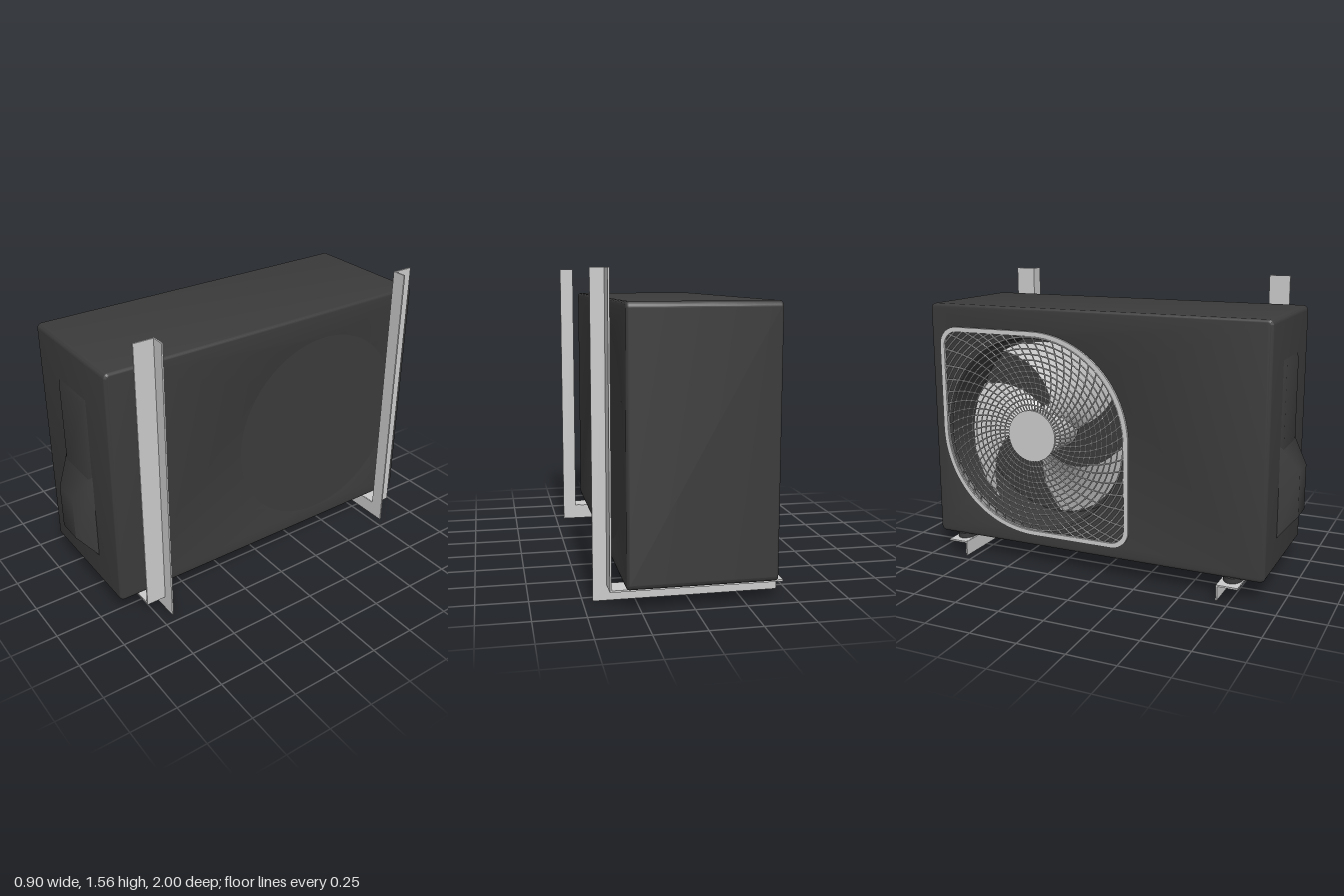
import * as THREE from 'three';
import { toCreasedNormals, mergeGeometries } from 'three/addons/utils/BufferGeometryUtils.js';
import { ParametricGeometry } from 'three/addons/geometries/ParametricGeometry.js';

const grey = new THREE.MeshStandardMaterial({ color: 0xcccccc });
const thinGrey = new THREE.MeshStandardMaterial({ color: 0xcccccc, side: THREE.DoubleSide });
const dark = new THREE.MeshStandardMaterial({ color: 0x3b3b3b });

function add(parent, name, geometry, material, x = 0, y = 0, z = 0) {
  const mesh = new THREE.Mesh(geometry, material);
  mesh.name = name;
  mesh.position.set(x, y, z);
  parent.add(mesh);
}

// Box between two corners
function boxBetween(parent, name, material, [x0, y0, z0], [x1, y1, z1]) {
  add(parent, name, new THREE.BoxGeometry(x1 - x0, y1 - y0, z1 - z0), material,
    (x0 + x1) / 2, (y0 + y1) / 2, (z0 + z1) / 2);
}

// Softly shaded frustum along z from a base rectangle to a top rectangle [x0, x1, y0, y1]
function frustum(base, top, z0, z1) {
  const geo = new THREE.BoxGeometry(1, 1, 1);
  const p = geo.attributes.position;
  for (let i = 0; i < p.count; i++) {
    const r = p.getZ(i) > 0 ? top : base;
    p.setXYZ(i, p.getX(i) > 0 ? r[1] : r[0], p.getY(i) > 0 ? r[3] : r[2], p.getZ(i) > 0 ? z1 : z0);
  }
  return toCreasedNormals(geo, 1);
}

// Rectangle with rounded corners
function roundedRect(x0, x1, y0, y1, r) {
  const s = new THREE.Shape();
  s.absarc(x1 - r, y1 - r, r, 0, Math.PI / 2);
  s.absarc(x0 + r, y1 - r, r, Math.PI / 2, Math.PI);
  s.absarc(x0 + r, y0 + r, r, Math.PI, Math.PI * 1.5);
  s.absarc(x1 - r, y0 + r, r, Math.PI * 1.5, Math.PI * 2);
  return s;
}

// Circle with two opposite corners squared off
function leafShape(R, c) {
  const s = new THREE.Shape();
  s.absarc(0, 0, R, 0, Math.PI / 2);
  s.absarc(-R + c, R - c, c, Math.PI / 2, Math.PI);
  s.absarc(0, 0, R, Math.PI, Math.PI * 1.5);
  s.absarc(R - c, -R + c, c, -Math.PI / 2, 0);
  return s;
}

// Distance from the fan axis to the grille rim at an angle
function leafRadius(a) {
  const c = Math.cos(a), s = Math.sin(a);
  return c * s < 0 ? Math.min(0.55 / Math.max(Math.abs(c), Math.abs(s)), 0.74) : 0.55;
}

const FAN_Y = 0.73, FAN_Z = -0.38, HOLE = 0.52;

// Housing with a round opening for the fan, drawn in z and y and extruded towards -x
function buildHousing(parent) {
  const bevel = 0.015;
  const s = roundedRect(-1, 0.912, 0.106, 1.413, 0.028);
  s.holes.push(new THREE.Path().absarc(FAN_Z, FAN_Y, HOLE, 0, Math.PI * 2, true));
  const geo = new THREE.ExtrudeGeometry(s, {
    depth: 0.72 - 2 * bevel, bevelThickness: bevel, bevelSize: bevel, bevelOffset: -bevel,
    bevelSegments: 3, curveSegments: 32,
  });
  geo.translate(0, 0, -0.32 + bevel).rotateY(-Math.PI / 2);
  add(parent, 'housing', toCreasedNormals(geo, 0.6), dark);
  // Closes the far side of the opening
  const plug = new THREE.CylinderGeometry(HOLE + bevel, HOLE + bevel, 0.42, 64).rotateZ(Math.PI / 2);
  add(parent, 'housingBack', plug, dark, 0.11, FAN_Y, FAN_Z);
}

function buildFan(parent) {
  const fan = new THREE.Group();
  fan.name = 'fan';
  fan.position.set(0, FAN_Y, FAN_Z);
  fan.rotation.y = -Math.PI / 2;
  parent.add(fan);

  // Hub and swept blades
  add(fan, 'fanHub', new THREE.CylinderGeometry(0.13, 0.13, 0.22, 32).rotateX(Math.PI / 2), grey, 0, 0, 0.23);
  for (let k = 0; k < 3; k++) {
    const blade = new ParametricGeometry((u, v, out) => {
      const r = 0.11 + 0.38 * u;
      const a = k * Math.PI * 2 / 3 + 0.6 * u + v * (1.0 + 0.45 * u);
      out.set(r * Math.cos(a), r * Math.sin(a), 0.17 + 0.15 * v);
    }, 12, 14);
    add(fan, 'fanBlade', blade, thinGrey);
  }

  // Grille rim
  const rim = leafShape(0.56, 0.1);
  rim.holes.push(leafShape(0.535, 0.08));
  add(fan, 'grilleRim', new THREE.ExtrudeGeometry(rim, {
    depth: 0.014, bevelEnabled: false, curveSegments: 24,
  }), grey, 0, 0, 0.398);

  // Concentric wires, continuing as arcs into the squared corners
  const wires = [];
  for (let r = 0.17; r < 0.74; r += 0.03) {
    if (r < 0.55) {
      wires.push(new THREE.TorusGeometry(r, 0.004, 4, 64));
      continue;
    }
    const half = Math.PI / 4 - Math.acos(0.55 / r);
    for (const mid of [Math.PI * 0.75, Math.PI * 1.75]) {
      wires.push(new THREE.TorusGeometry(r, 0.004, 4, 16, 2 * half).rotateZ(mid - half));
    }
  }
  add(fan, 'grilleRings', mergeGeometries(wires), grey, 0, 0, 0.405);

  // Swirling spokes
  const spokes = [];
  const count = 56;
  for (let k = 0; k < count; k++) {
    const end = k / count * Math.PI * 2, pts = [];
    const reach = leafRadius(end);
    for (let i = 0; i <= 5; i++) {
      const t = i / 5, r = 0.13 + (reach - 0.13) * t, a = end - 0.5 * (1 - t);
      pts.push(new THREE.Vector3(r * Math.cos(a), r * Math.sin(a), 0));
    }
    spokes.push(new THREE.TubeGeometry(new THREE.CatmullRomCurve3(pts), 10, 0.004, 4));
  }
  add(fan, 'grilleSpokes', mergeGeometries(spokes), grey, 0, 0, 0.406);
  add(fan, 'grilleCentre', new THREE.CylinderGeometry(0.14, 0.14, 0.016, 40).rotateX(Math.PI / 2), grey, 0, 0, 0.406);
}

// Angle-iron wall bracket; dir points to the side of its wide flange
function buildBracket(parent, name, z, dir) {
  const g = new THREE.Group();
  g.name = name;
  g.position.z = z;
  parent.add(g);
  const s = new THREE.Shape();
  [[-0.453, 0], [0.452, 0], [0.452, 1.56], [0.376, 1.56], [0.376, 0.082], [-0.453, 0.082]]
    .forEach(([x, y], i) => (i ? s.lineTo(x, y) : s.moveTo(x, y)));
  add(g, 'bracketWeb', new THREE.ExtrudeGeometry(s, { depth: 0.008, bevelEnabled: false }), grey, 0, 0, -0.004);
  const za = Math.min(0, dir * 0.11), zb = Math.max(0, dir * 0.11);
  boxBetween(g, 'postFlange', grey, [0.376, 0.074, za], [0.385, 1.56, zb]);
  boxBetween(g, 'armFlange', grey, [-0.453, 0.074, za], [0.385, 0.083, zb]);
  // Rubber feet
  for (const x of [-0.343, 0.217]) {
    const foot = new THREE.CylinderGeometry(0.07, 0.07, 0.03, 24).scale(1, 1, 0.72);
    add(g, 'foot', foot, dark, x, 0.096, dir * 0.055);
  }
}

export function createModel() {
  const model = new THREE.Group();
  model.name = 'outdoorUnit';
  buildHousing(model);
  buildFan(model);
  // Raised panel and valve cover on the end face
  add(model, 'coverPanel', frustum([-0.19, 0.11, 0.72, 1.2], [-0.16, 0.08, 0.72, 1.165], 0.908, 0.924), dark);
  add(model, 'valveCover', frustum([-0.19, 0.11, 0.27, 0.76], [-0.11, 0.03, 0.375, 0.62], 0.908, 1), dark);
  buildBracket(model, 'frontBracket', 0.682, 1);
  buildBracket(model, 'rearBracket', -0.798, -1);
  return model;
}
